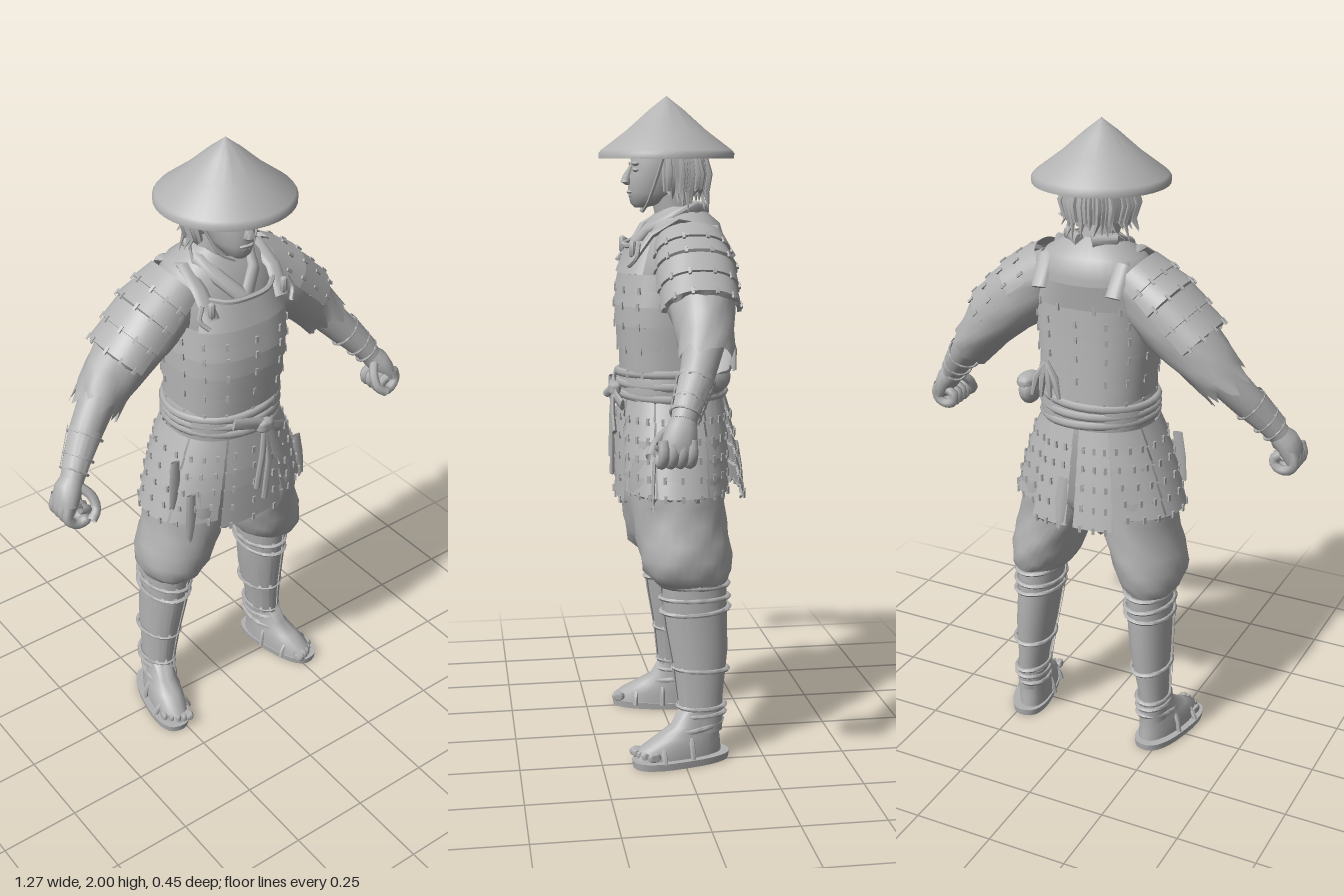
import * as THREE from 'three';
import { toCreasedNormals } from 'three/addons/utils/BufferGeometryUtils.js';

const V3 = (x, y, z) => new THREE.Vector3(x, y, z);
const clay = new THREE.MeshStandardMaterial({ color: 0xb2b2b2, side: THREE.DoubleSide });
clay.name = 'clay grey';

let seed = 7;
const rnd = () => (seed = (seed * 16807) % 2147483647) / 2147483647;

function add(parent, name, geo, crease = 0.75) {
  const m = new THREE.Mesh(toCreasedNormals(geo, crease), clay);
  m.name = name;
  parent.add(m);
  return m;
}

// Frame of a section [x, y, z, ru, rv]; flat keeps the rings horizontal
function frame(rows, i, flat) {
  const p = rows[Math.max(0, i - 1)], q = rows[Math.min(rows.length - 1, i + 1)];
  const t = V3(q[0] - p[0], q[1] - p[1], q[2] - p[2]);
  if (flat) t.set(0, t.y, 0);
  t.normalize();
  const v = V3(0, 0, 1).addScaledVector(t, -t.z).normalize();
  return { c: V3(...rows[i]), u: t.clone().cross(v), v, t };
}
const sup = (s, p) => Math.sign(s) * Math.abs(s) ** (2 / p);
function onRing(f, r, a, p, k = 1) {
  return f.c.clone().addScaledVector(f.u, r[3] * k * sup(Math.cos(a), p)).addScaledVector(f.v, r[4] * k * sup(Math.sin(a), p));
}

// Skin over sections; optional arc, caps, cloth folds and torn last edge
function loft(rows, { n = 24, a0 = 0, a1 = Math.PI * 2, p = 2, flat = false, caps = false, fold = 0, torn = 0 } = {}) {
  const pos = [], idx = [];
  rows.forEach((r, i) => {
    const f = frame(rows, i, flat);
    for (let j = 0; j <= n; j++) {
      const a = a0 + (a1 - a0) * j / n;
      const pt = onRing(f, r, a, p, 1 + fold * Math.sin(a * 5 + i * 1.9) * Math.sin(a * 2 + i));
      if (torn && i === rows.length - 1) pt.addScaledVector(f.t, torn * (j % n ? rnd() - 0.4 : 0));
      pos.push(pt.x, pt.y, pt.z);
      if (i && j) {
        const d = i * (n + 1) + j, b = d - n - 1;
        idx.push(b - 1, d - 1, b, d - 1, d, b);
      }
    }
  });
  if (caps) [0, rows.length - 1].forEach((i, e) => {
    const c = pos.length / 3, s = i * (n + 1);
    pos.push(...rows[i].slice(0, 3));
    for (let j = 0; j < n; j++) e ? idx.push(c, s + j + 1, s + j) : idx.push(c, s + j, s + j + 1);
  });
  const g = new THREE.BufferGeometry();
  g.setAttribute('position', new THREE.Float32BufferAttribute(pos, 3));
  g.setIndex(idx);
  return g;
}

function sample(rows, t) {
  const s = t * (rows.length - 1), i = Math.max(0, Math.min(rows.length - 2, Math.floor(s)));
  return rows[i].map((v, k) => v + (rows[i + 1][k] - v) * (s - i));
}

// Overlapping armour rows with lacing tabs, listed from the upper end down
function lamellar(parent, name, rows, count, opt, tabs, lip = 0.01) {
  const { a0 = 0, a1 = Math.PI * 2, p = 2 } = opt;
  for (let i = 0; i < count; i++) {
    const grow = (r, d) => [r[0], r[1], r[2], r[3] + d, r[4] + d];
    const band = [grow(sample(rows, i / count), 0), grow(sample(rows, (i + 1) / count), lip),
      grow(sample(rows, (i + 1.03) / count), -lip)];
    add(parent, name + 'Row', loft(band, { ...opt, torn: i === count - 1 ? opt.torn : 0 }), 0.5);
    for (let j = 0; j < tabs; j++) {
      const f = frame(band, 1, opt.flat), a = a0 + (a1 - a0) * (j + 0.5) / tabs;
      const pt = onRing(f, band[1], a, p), out = onRing(f, band[1], a, p, 1.5).sub(pt).normalize();
      const tab = add(parent, name + 'Lace', new THREE.BoxGeometry(0.009, 0.022, 0.006));
      tab.position.copy(pt);
      tab.quaternion.setFromRotationMatrix(new THREE.Matrix4().makeBasis(f.t.clone().cross(out).normalize(), f.t, out));
    }
  }
}

const tube = (pts, r, n = 12, k = 6) =>
  new THREE.TubeGeometry(new THREE.CatmullRomCurve3(pts.map(q => V3(...q))), n, r, k, false);
function ball(parent, name, [x, y, z], [rx, ry, rz]) {
  const m = add(parent, name, new THREE.SphereGeometry(1, 14, 10).scale(rx, ry, rz), 1.2);
  m.position.set(x, y, z);
  return m;
}
function band(parent, name, x, y, z, rx, rz, r) {
  const m = add(parent, name, new THREE.TorusGeometry(1, r / rx, 6, 28).rotateX(Math.PI / 2).scale(rx, rx, rz), 1.2);
  m.position.set(x, y, z);
  return m;
}

function buildHead(g) {
  const prof = [[0.001, 2], [0.05, 1.962], [0.12, 1.9], [0.197, 1.842], [0.204, 1.833], [0.204, 1.817], [0.194, 1.817], [0.19, 1.828], [0.1, 1.9], [0.001, 1.975]];
  add(g, 'strawHat', new THREE.LatheGeometry(prof.map(q => new THREE.Vector2(...q)), 40).translate(0.006, 0, 0.016));
  add(g, 'head', loft([[0, 1.672, 0.095, 0.02, 0.018], [0, 1.685, 0.07, 0.042, 0.055], [0, 1.715, 0.042, 0.058, 0.09],
    [0, 1.765, 0.03, 0.07, 0.1], [0, 1.79, 0.022, 0.072, 0.1], [0, 1.85, 0.02, 0.076, 0.105], [0, 1.91, 0.01, 0.05, 0.07]], { flat: true, caps: true }), 1.2);
  add(g, 'nose', loft([[0, 1.8, 0.118, 0.009, 0.008], [0, 1.765, 0.135, 0.012, 0.014], [0, 1.748, 0.138, 0.019, 0.016], [0, 1.738, 0.128, 0.012, 0.01]], { n: 10, flat: true, caps: true }), 1.2);
  ball(g, 'upperLip', [0, 1.718, 0.127], [0.025, 0.006, 0.009]);
  ball(g, 'lowerLip', [0, 1.706, 0.121], [0.02, 0.006, 0.009]);
  for (const s of [-1, 1]) {
    ball(g, 'brow', [s * 0.032, 1.802, 0.114], [0.026, 0.007, 0.012]);
    ball(g, 'eye', [s * 0.031, 1.784, 0.112], [0.015, 0.007, 0.01]);
    ball(g, 'ear', [s * 0.077, 1.765, 0.02], [0.012, 0.032, 0.02]);
    add(g, 'hatCord', tube([[s * 0.115, 1.825, 0.04], [s * 0.088, 1.75, 0.06], [s * 0.055, 1.685, 0.08], [s * 0.015, 1.66, 0.09]], 0.005));
  }
  add(g, 'hairCap', loft([[0, 1.88, 0, 0.075, 0.095], [0, 1.8, -0.005, 0.088, 0.1], [0, 1.72, -0.01, 0.075, 0.085]],
    { flat: true, a0: -Math.PI - 0.1, a1: 0.1, torn: 0.05 }));
  // Loose locks around the sides and back
  for (let i = 0; i < 34; i++) {
    const a = Math.PI * (0.9 + 1.2 * i / 33), c = Math.cos(a), s = Math.sin(a), e = 1 + rnd() * 0.2, y = 1.66 + rnd() * 0.08;
    add(g, 'hairLock', loft([[c * 0.085, 1.85, s * 0.095, 0.009, 0.009], [c * 0.1 * e, 1.77, s * 0.1 * e, 0.011, 0.011],
      [c * 0.088 * e, 1.72, s * 0.095 * e, 0.008, 0.008], [c * 0.095 * e + (rnd() - 0.5) * 0.04, y, s * 0.1 * e, 0.001, 0.001]], { n: 5 }), 1);
  }
}

function buildTorso(g) {
  add(g, 'tunic', loft([[0, 1.08, -0.01, 0.165, 0.145], [0, 1.3, 0, 0.155, 0.145], [0, 1.48, -0.015, 0.175, 0.145], [0, 1.57, -0.03, 0.19, 0.13],
    [0, 1.625, -0.035, 0.15, 0.11], [0, 1.66, -0.03, 0.09, 0.075], [0, 1.675, -0.025, 0.065, 0.06]], { n: 32, p: 2.2, flat: true }), 1.2);
  add(g, 'neck', loft([[0, 1.6, -0.02, 0.062, 0.06], [0, 1.74, 0.01, 0.055, 0.06]], { flat: true }), 1.2);
  lamellar(g, 'cuirass', [[0.004, 1.48, 0, 0.178, 0.162], [0.004, 1.36, 0.01, 0.178, 0.163], [0.004, 1.18, 0, 0.165, 0.152]], 5, { n: 44, p: 2.5, flat: true }, 14, 0.007);
  const top = [[0, 1.565, -0.01, 0.15, 0.145], [0, 1.48, 0, 0.178, 0.162]], H = Math.PI / 2;
  lamellar(g, 'breastplate', top, 1, { n: 20, p: 2.5, flat: true, a0: H - 0.95, a1: H + 0.95 }, 0, 0.007);
  lamellar(g, 'backplate', [[0, 1.555, -0.02, 0.15, 0.158], top[1]], 1, { n: 20, p: 2.5, flat: true, a0: -H - 0.95, a1: -H + 0.95 }, 4, 0.007);
  add(g, 'breastplateRim', tube([[-0.115, 1.57, 0.1], [-0.07, 1.562, 0.135], [0, 1.558, 0.142], [0.07, 1.562, 0.135], [0.115, 1.57, 0.1]], 0.008));
  for (const s of [-1, 1]) {
    add(g, 'collar', loft([[s * 0.02, 1.665, -0.1, 0.022, 0.015], [s * 0.075, 1.67, -0.06, 0.022, 0.015], [s * 0.085, 1.65, 0.01, 0.022, 0.015],
      [s * 0.06, 1.61, 0.08, 0.022, 0.014], [0, 1.545, 0.125, 0.022, 0.014]], { n: 10, caps: true }), 1);
    add(g, 'shoulderStrap', loft([[s * 0.125, 1.52, 0.135, 0.025, 0.01], [s * 0.13, 1.595, 0.08, 0.025, 0.01], [s * 0.125, 1.636, 0, 0.025, 0.011],
      [s * 0.125, 1.615, -0.115, 0.025, 0.01], [s * 0.12, 1.53, -0.166, 0.025, 0.01]], { n: 10, caps: true }), 1);
    add(g, 'strapToggle', new THREE.CapsuleGeometry(0.011, 0.03, 4, 8)).position.set(s * 0.128, 1.555, 0.135);
    add(g, 'toggleCord', tube([[s * 0.15, 1.57, 0.12], [s * 0.165, 1.53, 0.13], [s * 0.145, 1.505, 0.15]], 0.007));
  }
}

function buildWaist(g) {
  add(g, 'hips', loft([[0, 0.77, 0, 0.09, 0.1], [0, 0.85, 0, 0.2, 0.145], [0, 1.1, 0, 0.17, 0.145]], { flat: true, caps: true }), 1.2);
  add(g, 'sash', loft([[0, 1.1, 0, 0.178, 0.163], [0, 1.15, 0, 0.182, 0.165], [0, 1.19, 0, 0.17, 0.158]], { n: 40, p: 2.3, flat: true }));
  for (const y of [1.115, 1.145, 1.175]) band(g, 'sashFold', 0, y, 0, 0.177, 0.163, 0.014).rotation.z = (y - 1.145) * 1.5;
  ball(g, 'sashKnot', [0.035, 1.125, 0.18], [0.033, 0.025, 0.02]);
  const tails = [[[-0.07, 1.16, 0.165], [0, 1.145, 0.18], [0.07, 1.105, 0.18], [0.11, 1.085, 0.165]],
    [[0.04, 1.12, 0.185], [0.06, 1.06, 0.19], [0.09, 1, 0.188]], [[0.03, 1.12, 0.185], [0.02, 1.03, 0.19], [0.0, 0.91, 0.19]],
    [[0.035, 1.12, 0.185], [0.045, 1, 0.19], [0.03, 0.86, 0.19]]];
  tails.forEach((t, i) => add(g, 'sashTail', loft(t.map(q => [...q, i < 2 ? 0.02 : 0.011, 0.007]), { n: 10, caps: true }), 1));
  // Hanging skirt panels: offsets run from the front centre round to the back
  const H = Math.PI / 2, spans = [[-0.38, 0.38]];
  for (const [a, b] of [[0.42, 1.12], [1.16, 1.95], [1.99, 2.68]]) spans.push([a, b], [-b, -a]);
  spans.forEach(([a, b], i) => {
    const low = i ? 0.825 : 0.79, k = i % 2 ? 0 : 0.003;
    lamellar(g, 'skirtPanel', [[0, 1.1, 0, 0.18 + k, 0.158 + k], [0, 0.96, 0, 0.232 + k, 0.168 + k], [0, low, 0, 0.27 + k, 0.166 + k]], 5,
      { n: 12, p: 2.3, flat: true, a0: H + a, a1: H + b, torn: 0.025 }, 3, 0.007);
  });
  // Two rear panels swing out behind the others
  for (const [a, b] of [[2.64, 3.11], [-3.11, -2.64]])
    lamellar(g, 'rearPanel', [[0, 1.1, -0.005, 0.182, 0.16], [0, 0.96, -0.02, 0.225, 0.17], [0, 0.8, -0.04, 0.25, 0.176]], 5,
      { n: 10, p: 2.3, flat: true, a0: H + a, a1: H + b, torn: 0.025 }, 3, 0.006);
  // Torn cloth strips over the sides
  for (const [x, y, z, l] of [[-0.225, 1.04, 0.08, 0.16], [0.235, 0.95, 0.085, 0.15], [-0.2, 0.93, 0.125, 0.15], [0.03, 0.95, -0.2, 0.15]])
    add(g, 'clothStrip', loft([[x, y, z, 0.016, 0.005], [x * 1.03, y - l / 2, z * 1.06, 0.02, 0.005], [x * 1.08, y - l, z * 1.1, 0.012, 0.004]], { n: 8, torn: 0.03 }));
  ball(g, 'beltPouch', [0.19, 1.18, -0.1], [0.033, 0.05, 0.05]);
  ball(g, 'pouchFlap', [0.194, 1.205, -0.1], [0.035, 0.025, 0.052]);
  for (let i = 0; i < 4; i++)
    add(g, 'backTassel', loft([[0.1, 1.3, -0.163, 0.008, 0.008], [0.07 + i * 0.02, 1.25, -0.168, 0.012, 0.012], [0.055 + i * 0.03, 1.19, -0.17, 0.006, 0.006]], { n: 7, caps: true }));
}

function buildArm(g) {
  add(g, 'sleeve', loft([[0.13, 1.55, -0.035, 0.07, 0.09], [0.18, 1.51, -0.035, 0.09, 0.11], [0.25, 1.45, -0.04, 0.1, 0.108], [0.31, 1.393, -0.045, 0.089, 0.095],
    [0.36, 1.343, -0.042, 0.083, 0.085], [0.395, 1.303, -0.038, 0.074, 0.08], [0.422, 1.272, -0.03, 0.072, 0.075]], { n: 28, fold: 0.07, torn: 0.06 }), 1);
  lamellar(g, 'shoulderGuard', [[0.12, 1.565, -0.035, 0.09, 0.104], [0.22, 1.48, -0.037, 0.105, 0.118], [0.325, 1.38, -0.037, 0.098, 0.11]], 4,
    { n: 18, p: 2.3, a0: Math.PI - 1.5, a1: Math.PI + 1.5, torn: 0.012 }, 6, 0.007);
  const fore = [[0.395, 1.31, -0.035, 0.057, 0.06], [0.475, 1.22, 0, 0.05, 0.05], [0.535, 1.148, 0.035, 0.038, 0.04], [0.564, 1.11, 0.052, 0.034, 0.036]];
  add(g, 'forearm', loft(fore, { n: 18, caps: true }), 1.2);
  const guard = [0.35, 0.6, 0.85].map(t => sample(fore, t));
  for (let i = 0; i < 5; i++) {
    const a = Math.PI + (i - 2) * 0.75;
    add(g, 'bracerSplint', loft(guard.map(r => [r[0], r[1], r[2], r[3] + 0.007, r[4] + 0.007]), { n: 4, a0: a - 0.3, a1: a + 0.3 }));
  }
  for (const t of [0.4, 0.62, 0.84]) {
    const r = sample(fore, t), b = band(g, 'bracerTie', r[0], r[1], r[2], r[3] + 0.005, r[4] + 0.005, 0.004);
    b.quaternion.setFromUnitVectors(V3(0, 1, 0), V3(-0.62, 0.7, -0.34).normalize());
  }
  // Half-closed fist
  add(g, 'palm', loft([[0.55, 1.122, 0.046, 0.03, 0.032], [0.582, 1.09, 0.06, 0.038, 0.045], [0.6, 1.06, 0.068, 0.034, 0.05], [0.61, 1.03, 0.072, 0.022, 0.047]], { n: 14, caps: true }), 1.2);
  for (let i = 0; i < 4; i++) {
    const z = 0.035 + i * 0.026;
    add(g, 'finger', tube([[0.61, 1.07, z], [0.62, 1.028, z], [0.595, 1.002, z + 0.003], [0.56, 1.01, z + 0.005], [0.558, 1.04, z + 0.004], [0.58, 1.05, z + 0.003]], 0.0155, 14, 7), 1.2);
  }
  add(g, 'thumb', tube([[0.56, 1.1, 0.075], [0.535, 1.07, 0.105], [0.535, 1.035, 0.128], [0.56, 1.015, 0.142]], 0.015, 10, 7), 1.2);
}

function buildLeg(g) {
  add(g, 'trouserLeg', loft([[0.12, 1, 0, 0.1, 0.13], [0.133, 0.86, 0, 0.122, 0.148], [0.14, 0.79, 0, 0.118, 0.146], [0.15, 0.735, -0.005, 0.114, 0.143], [0.167, 0.68, -0.01, 0.117, 0.142],
    [0.181, 0.63, -0.014, 0.113, 0.14], [0.187, 0.59, -0.018, 0.106, 0.133], [0.193, 0.56, -0.03, 0.088, 0.112], [0.196, 0.538, -0.038, 0.068, 0.093]], { n: 36, flat: true, fold: 0.06 }), 1);
  const calf = [[0.193, 0.57, -0.04, 0.07, 0.098], [0.196, 0.48, -0.043, 0.068, 0.098], [0.206, 0.34, -0.057, 0.062, 0.085], [0.219, 0.2, -0.06, 0.046, 0.066], [0.225, 0.09, -0.06, 0.043, 0.064]];
  add(g, 'calf', loft(calf, { n: 22, flat: true }), 1.2);
  // Splinted shin guard over wrapped cloth
  for (let i = 0; i < 5; i++) {
    const a = Math.PI / 2 + (i - 2) * 0.52, r = [0.08, 0.35, 0.6, 0.84].map(t => sample(calf, t)).map(q => [q[0], q[1], q[2], q[3] + 0.008, q[4] + 0.009]);
    add(g, 'shinSplint', loft(r, { n: 4, a0: a - 0.2, a1: a + 0.2, flat: true, torn: 0.015 }));
  }
  [0.05, 0.18, 0.27, 0.6, 0.82, 0.88].forEach((t, i) => {
    const q = sample(calf, t);
    band(g, 'legTie', q[0], q[1], q[2], q[3] + 0.005, q[4] + 0.005, 0.007).rotation.set(0.05 * (i % 3 - 1), 0, 0.1 * (i % 2 - 0.5));
  });
  // Splayed foot in a straw sandal
  const foot = new THREE.Group();
  foot.name = 'foot';
  foot.position.set(0.241, 0, 0.01);
  foot.rotation.y = 0.22;
  g.add(foot);
  add(foot, 'sandalSole', loft([[0.008, 0, 0, 0.063, 0.152], [0.008, 0.022, 0, 0.066, 0.155]], { n: 28, p: 2.5, flat: true, caps: true }));
  add(foot, 'footBody', loft([[0, 0.02, 0.005, 0.054, 0.138], [0, 0.052, 0, 0.054, 0.13], [-0.002, 0.082, -0.025, 0.049, 0.102], [-0.004, 0.112, -0.052, 0.044, 0.078], [-0.006, 0.16, -0.068, 0.045, 0.066]],
    { n: 24, p: 2.3, flat: true, caps: true }), 1.2);
  for (let i = 0; i < 5; i++) ball(foot, 'toe', [-0.034 + i * 0.019, 0.036, 0.13 - i * i * 0.002], [i ? 0.011 : 0.016, 0.015, 0.022]);
  for (const [z, h] of [[0.07, 0.064], [-0.02, 0.098]])
    add(foot, 'sandalStrap', tube([[-0.06, 0.015, z], [-0.047, h * 0.75, z], [0, h + 0.004, z], [0.047, h * 0.75, z], [0.064, 0.015, z]], 0.008));
  band(foot, 'ankleStrap', -0.004, 0.105, -0.055, 0.047, 0.079, 0.008).rotation.x = 0.15;
}

export function createModel() {
  const root = new THREE.Group();
  root.name = 'armouredFootSoldier';
  const part = (name, build, side = 1) => {
    const g = new THREE.Group();
    g.name = name;
    g.scale.x = side;
    build(g);
    root.add(g);
  };
  part('headAndHat', buildHead);
  part('torso', buildTorso);
  part('waist', buildWaist);
  for (const [name, s] of [['left', 1], ['right', -1]]) {
    part(name + 'Arm', buildArm, s);
    part(name + 'Leg', buildLeg, s);
  }
  return root;
}
